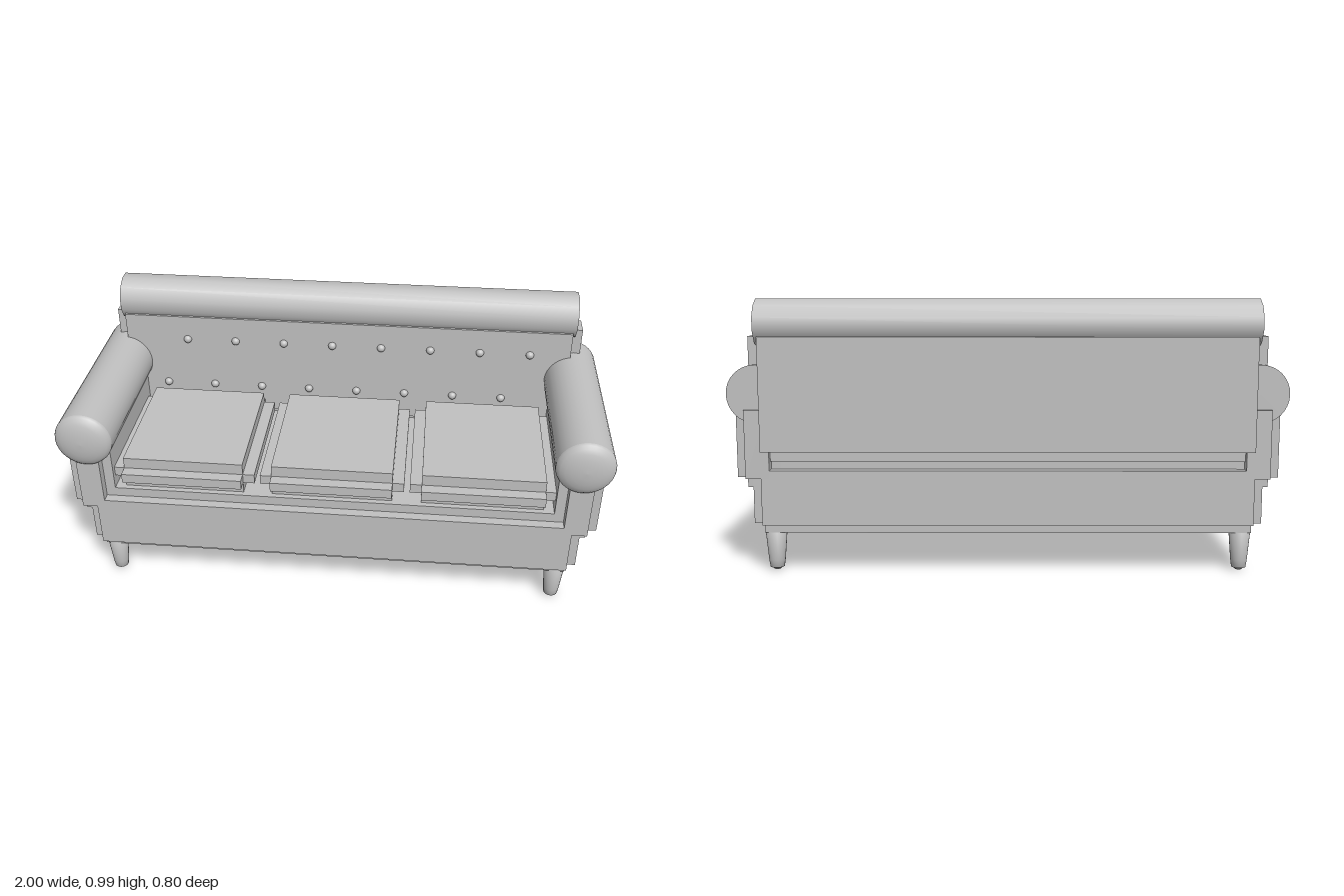
import * as THREE from 'three';

export function createModel() {
  const sofa = new THREE.Group();
  sofa.name = 'sofa';
  const grey = new THREE.MeshStandardMaterial({ color: 0xc0c0c0 });
  grey.name = 'plain grey';

  const add = (name, geometry, parent = sofa) => {
    const mesh = new THREE.Mesh(geometry, grey);
    mesh.name = name;
    parent.add(mesh);
    return mesh;
  };

  // Block with stepped edges: three crossing boxes, each full size along one axis only
  const steppedBlock = (name, min, max, inset) => {
    const group = new THREE.Group();
    group.name = name;
    sofa.add(group);
    ['SideFaces', 'TopAndBottom', 'FrontAndBack'].forEach((label, axis) => {
      const size = max.map((v, i) => v - min[i] - (i === axis ? 0 : 2 * inset));
      const box = add(name + label, new THREE.BoxGeometry(...size), group);
      box.position.set(...max.map((v, i) => (v + min[i]) / 2));
    });
  };

  // Base and backrest
  steppedBlock('base', [-0.92, 0.145, -0.374], [0.92, 0.417, 0.359], 0.036);
  steppedBlock('backrest', [-0.92, 0.41, -0.392], [0.92, 0.9, -0.23], 0.04);

  // Three seat cushions
  for (const x of [-0.555, 0, 0.555]) {
    steppedBlock('seatCushion', [x - 0.267, 0.417, -0.25], [x + 0.267, 0.54, 0.345], 0.043);
  }

  // Roll along the top of the backrest
  const roll = new THREE.CylinderGeometry(0.089, 0.089, 1.784, 12);
  roll.rotateY(Math.PI / 12).rotateZ(Math.PI / 2);
  add('backRoll', roll).position.set(0, 0.905, -0.313);

  // Arm roll profile: flat at the back, shallow dome at the front
  const armProfile = [new THREE.Vector2(0.105, -0.366), new THREE.Vector2(0.105, 0.36)];
  for (let i = 0; i <= 6; i++) {
    const a = (i / 6) * Math.PI / 2;
    armProfile.push(new THREE.Vector2(i === 6 ? 0 : 0.105 * Math.cos(a), 0.36 + 0.038 * Math.sin(a)));
  }
  const armRoll = new THREE.LatheGeometry(armProfile, 32).rotateX(Math.PI / 2);
  const armEnd = new THREE.CircleGeometry(0.105, 32).rotateY(Math.PI);

  // Turned leg with a small foot
  const legProfile = [[0, 0], [0.012, 0.002], [0.018, 0.01], [0.026, 0.011], [0.03, 0.04], [0.039, 0.145], [0, 0.145]]
    .map(([r, y]) => new THREE.Vector2(r, y));
  const leg = new THREE.LatheGeometry(legProfile, 24);

  for (const side of [-1, 1]) {
    const inner = side * 0.817, outer = side * 0.975;
    steppedBlock('arm', [Math.min(inner, outer), 0.315, -0.374], [Math.max(inner, outer), 0.635, 0.359], 0.036);
    add('armRoll', armRoll).position.set(side * 0.895, 0.655, 0);
    add('armRollBackEnd', armEnd).position.set(side * 0.895, 0.655, -0.366);
    for (const z of [0.287, -0.303]) add('leg', leg).position.set(side * 0.85, 0, z);
  }

  // Two staggered rows of buttons on the backrest
  const button = new THREE.SphereGeometry(0.016, 16, 12);
  for (const [startX, y] of [[-0.634, 0.762], [-0.73, 0.56]]) {
    for (let i = 0; i < 8; i++) add('button', button).position.set(startX + i * 0.194, y, -0.23);
  }

  return sofa;
}
